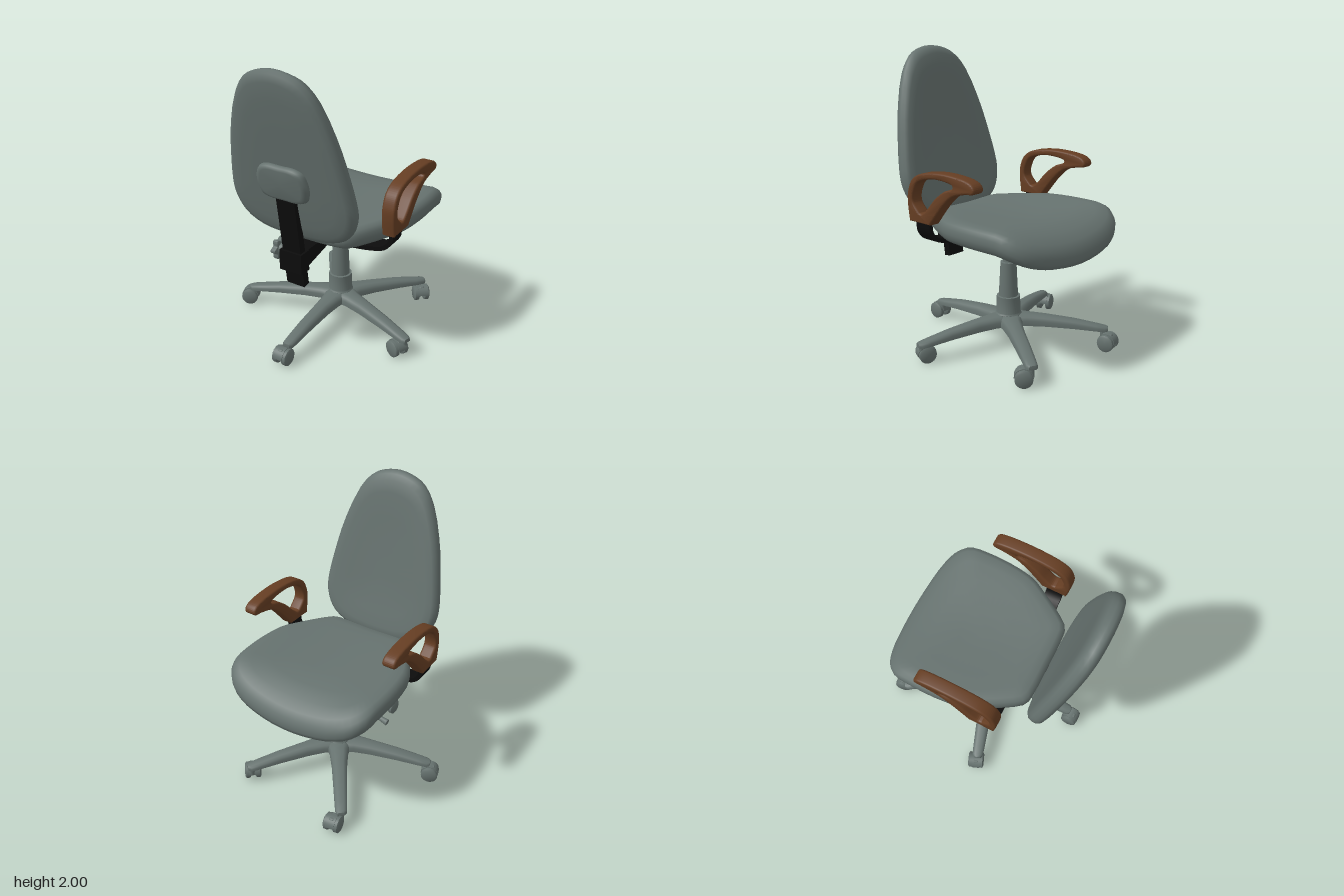
import * as THREE from 'three';
import { toCreasedNormals, mergeVertices } from 'three/addons/utils/BufferGeometryUtils.js';
import { RoundedBoxGeometry } from 'three/addons/geometries/RoundedBoxGeometry.js';

const material = (name, color) => Object.assign(new THREE.MeshStandardMaterial({ color }), { name });
const CX = 0.037, CZ = -0.063; // column axis
const V = (x, y, z) => new THREE.Vector3(x, y, z);
const P = ([x, y]) => new THREE.Vector2(x, y);

// Skin a series of closed counter-clockwise rings
function skin(rings) {
  const n = rings[0].length, pos = [], idx = [];
  rings.forEach((r) => r.forEach((p) => pos.push(p.x, p.y, p.z)));
  for (let i = 0; i < rings.length - 1; i++) {
    for (let j = 0; j < n; j++) {
      const k = (j + 1) % n, a = i * n + j, b = i * n + k, c = b + n, d = a + n;
      idx.push(a, b, c, a, c, d);
    }
  }
  const g = new THREE.BufferGeometry();
  g.setAttribute('position', new THREE.Float32BufferAttribute(pos, 3));
  g.setIndex(idx);
  const merged = mergeVertices(g, 1e-5);
  merged.computeVertexNormals();
  return merged;
}

// Padded cushion: mirrored half outline, rings of [scale, height], and a placing rule
function cushion(half, centre, rings, place) {
  const left = half.slice(1, -1).reverse().map(([u, v]) => [-u, v]);
  const curve = new THREE.CatmullRomCurve3([...half, ...left].map(([u, v]) => V(u, v, 0)), true);
  const outline = curve.getPoints(56).slice(0, -1);
  return skin(rings.map(([s, t]) => outline.map((p) => place(p.x * s, centre + (p.y - centre) * s, t))));
}

export function createModel() {
  const grey = material('grey upholstery and plastic', 0x66726f);
  const black = material('black steel', 0x0c0c0c);
  const brown = material('brown armrest', 0x663e23);
  const root = new THREE.Group();
  root.name = 'officeChair';
  const add = (name, geometry, mat, x = 0, y = 0, z = 0, parent = root) => {
    const m = new THREE.Mesh(geometry, mat);
    m.name = name;
    m.position.set(x, y, z);
    parent.add(m);
    return m;
  };

  // Seat cushion: raised sides and a drooping front edge
  const seatHalf = [[0, -0.37], [0.2, -0.37], [0.3, -0.355], [0.39, -0.24], [0.46, -0.12], [0.52, 0], [0.55, 0.2],
    [0.55, 0.4], [0.535, 0.52], [0.47, 0.6], [0.36, 0.645], [0.2, 0.67], [0, 0.68]];
  const seatRings = [[0, 0.78], [0.3, 0.78], [0.6, 0.78], [0.85, 0.782], [0.95, 0.795], [0.99, 0.82], [1, 0.85],
    [1, 0.885], [0.975, 0.915], [0.92, 0.935], [0.8, 0.944], [0.6, 0.946], [0.3, 0.946], [0, 0.946]];
  add('seat', cushion(seatHalf, 0.1, seatRings, (u, v, t) =>
    V(u + 0.04, t + 0.045 * (u / 0.55) ** 2 - 1.4 * Math.max(0, v - 0.4) ** 2, -v)), grey);

  // Backrest cushion, leaning backwards
  const lean = (y) => 0.43 + (y - 0.87) * 0.212;
  const backHalf = [[0, 0.86], [0.12, 0.865], [0.24, 0.88], [0.35, 0.93], [0.41, 1.0], [0.443, 1.1], [0.442, 1.2],
    [0.41, 1.4], [0.365, 1.6], [0.275, 1.84], [0.19, 1.945], [0.1, 1.985], [0, 2]];
  const backRings = [[0, -0.05], [0.3, -0.052], [0.6, -0.058], [0.82, -0.065], [0.93, -0.06], [0.98, -0.042], [1, -0.015],
    [1, 0.01], [0.97, 0.035], [0.9, 0.05], [0.75, 0.057], [0.5, 0.06], [0, 0.06]];
  add('backrest', cushion(backHalf, 1.3, backRings, (u, v, t) => V(u + 0.032, v, lean(v) + t)), grey);

  // Pad joining the upright to the backrest
  const padHalf = [[0, 1.165], [0.1, 1.165], [0.155, 1.185], [0.18, 1.25], [0.18, 1.31], [0.155, 1.375], [0.1, 1.4], [0, 1.4]];
  add('backPad', cushion(padHalf, 1.28, [[0, 0], [1, 0], [1, 0.07], [0.95, 0.095], [0.8, 0.105], [0, 0.108]],
    (u, v, t) => V(u + 0.028, v, lean(v) + t)), grey);

  // Back support: leaning upright, clamp and tapering arm to the seat
  const upright = add('backUpright', new THREE.BoxGeometry(0.135, 0.64, 0.05), black, 0.034, 0.85, 0.508);
  upright.rotation.x = Math.atan2(0.095, 0.63);
  add('uprightClamp', new THREE.BoxGeometry(0.165, 0.14, 0.09), black, 0.034, 0.72, 0.497);
  const armSide = new THREE.Shape([[0.46, 0.65], [0.46, 0.775], [0.1, 0.775], [0.1, 0.725]].map(P));
  const supportGeo = new THREE.ExtrudeGeometry(armSide, { depth: 0.12, bevelEnabled: false });
  supportGeo.rotateY(-Math.PI / 2);
  add('backSupportArm', supportGeo, black, 0.094);

  // Seat pan
  const pan = new THREE.CylinderGeometry(0.43, 0.39, 0.05, 4).rotateY(Math.PI / 4);
  add('seatPan', toCreasedNormals(pan, 0.5), grey, CX, 0.77, -0.075);
  add('panBoss', new THREE.CylinderGeometry(0.24, 0.12, 0.04, 24), grey, CX, 0.73, -0.04);

  // Curved band carrying both armrests
  const bend = new THREE.CatmullRomCurve3([[-0.54, 0.94], [-0.535, 0.875], [-0.49, 0.82], [-0.39, 0.79], [-0.15, 0.765],
    [0.15, 0.765], [0.39, 0.79], [0.49, 0.82], [0.535, 0.875], [0.54, 0.94]].map(([x, y]) => V(x, y, 0)));
  const bandRings = bend.getPoints(40).map((p, i) => {
    const t = bend.getTangent(i / 40), nx = -t.y * 0.014, ny = t.x * 0.014;
    return [[1, 0.06], [-1, 0.06], [-1, -0.06], [1, -0.06]].map(([s, z]) => V(p.x + nx * s, p.y + ny * s, z));
  });
  const bandMesh = add('armBracket', toCreasedNormals(skin(bandRings), 0.6), black, CX, 0, 0.17);
  bandMesh.material.side = THREE.DoubleSide;

  // Looped armrests, drawn in the z-y plane
  const loop = new THREE.Shape();
  loop.moveTo(0.075, 0.935);
  loop.lineTo(0.26, 0.935);
  loop.splineThru([[0.275, 1.05], [0.27, 1.13], [0.23, 1.21], [0.14, 1.258], [-0.02, 1.28], [-0.18, 1.275], [-0.275, 1.255],
    [-0.31, 1.22], [-0.295, 1.19], [-0.23, 1.18], [-0.13, 1.15], [-0.05, 1.085], [0.015, 1.01], [0.075, 0.935]].map(P));
  const hole = new THREE.Path();
  hole.moveTo(0.17, 1.0);
  hole.splineThru([[0.225, 1.065], [0.215, 1.14], [0.165, 1.203], [0.03, 1.235], [-0.11, 1.226], [-0.125, 1.2],
    [-0.05, 1.17], [0.03, 1.11], [0.095, 1.04], [0.14, 1.0], [0.17, 1.0]].map(P));
  loop.holes.push(hole);
  const armGeo = new THREE.ExtrudeGeometry(loop, { depth: 0.06, bevelThickness: 0.015, bevelSize: 0.012,
    bevelOffset: -0.012, bevelSegments: 3, curveSegments: 40 });
  armGeo.rotateY(-Math.PI / 2).translate(0.03, 0, 0);
  const armSmooth = toCreasedNormals(armGeo, 0.7);
  add('rightArmrest', armSmooth, brown, -0.502, 0, -0.005);
  add('leftArmrest', armSmooth, brown, 0.576, 0, 0.005);

  // Lobed tension knob on its stem
  const lobes = new THREE.Shape();
  for (let i = 0; i < 60; i++) {
    const a = (i / 60) * Math.PI * 2, r = 0.064 + 0.012 * Math.cos(a * 6);
    lobes[i ? 'lineTo' : 'moveTo'](Math.cos(a) * r, Math.sin(a) * r);
  }
  const knobGeo = new THREE.ExtrudeGeometry(lobes, { depth: 0.026, bevelThickness: 0.006, bevelSize: 0.006, bevelOffset: -0.006, bevelSegments: 2 });
  add('knob', toCreasedNormals(knobGeo.rotateY(-Math.PI / 2), 0.7), grey, -0.132, 0.715, 0.41);
  add('knobStem', new THREE.CylinderGeometry(0.038, 0.038, 0.12, 20).rotateZ(Math.PI / 2), grey, -0.075, 0.715, 0.41);

  // Height lever
  const rod = (name, a, b, r0, r1, mat) => {
    const d = b.clone().sub(a);
    const m = add(name, new THREE.CylinderGeometry(r1, r0, d.length(), 12), mat);
    m.position.copy(a).addScaledVector(d, 0.5);
    m.quaternion.setFromUnitVectors(V(0, 1, 0), d.normalize());
  };
  rod('lever', V(0.037, 0.665, -0.07), V(-0.3, 0.58, -0.09), 0.01, 0.01, black);
  rod('leverHandle', V(-0.285, 0.585, -0.09), V(-0.385, 0.565, -0.095), 0.013, 0.022, grey);

  // Gas column
  const column = [[0, 0.15], [0.09, 0.15], [0.09, 0.225], [0.083, 0.235], [0.08, 0.35], [0.066, 0.352], [0.054, 0.59],
    [0.037, 0.592], [0.037, 0.74], [0, 0.74]].map(P);
  add('gasColumn', toCreasedNormals(new THREE.LatheGeometry(column, 32), 0.6), grey, CX, 0, CZ);

  // Five-legged base: [reach, half width, bottom, top]
  const sections = [[0, 0.085, 0.155, 0.225], [0.07, 0.083, 0.155, 0.225], [0.13, 0.066, 0.153, 0.222], [0.25, 0.054, 0.148, 0.214],
    [0.45, 0.047, 0.136, 0.19], [0.6, 0.042, 0.122, 0.162], [0.66, 0.038, 0.116, 0.15], [0.68, 0.024, 0.118, 0.145]];
  const across = [[1, 0], [1, 0.5], [0.85, 0.82], [0.5, 1], [-0.5, 1], [-0.85, 0.82], [-1, 0.5], [-1, 0]];
  const legRings = sections.map(([z, w, lo, hi]) => across.map(([u, v]) => V(u * w, lo + (hi - lo) * v, z)));
  legRings.unshift(across.map(() => V(0, 0.19, 0)));
  legRings.push(across.map(() => V(0, 0.131, 0.682)));
  const legGeo = toCreasedNormals(skin(legRings), 0.8);
  for (let i = 0; i < 5; i++) {
    const leg = new THREE.Group();
    leg.name = 'baseLeg' + (i + 1);
    leg.position.set(CX, 0, CZ);
    leg.rotation.y = (i * Math.PI * 2) / 5;
    add('spoke', legGeo, grey, 0, 0, 0, leg);
    add('casterStem', new THREE.CylinderGeometry(0.02, 0.02, 0.07, 12), grey, 0, 0.095, 0.65, leg);
    root.add(leg);
  }

  // Twin-wheel casters: [x, z, heading]
  const wheel = toCreasedNormals(new THREE.LatheGeometry([[0, -0.021], [0.045, -0.021], [0.058, -0.013],
    [0.058, 0.013], [0.045, 0.021], [0, 0.021]].map(P), 24).rotateZ(Math.PI / 2), 0.6);
  const hood = new THREE.CylinderGeometry(0.062, 0.062, 0.06, 20, 1, false, 0, Math.PI).rotateZ(Math.PI / 2);
  const places = [[0.02, 0.63, 0], [-0.615, 0.14, -1.2], [0.612, 0.15, 1.15], [-0.32, -0.645, 0.15], [0.445, -0.55, 0.7]];
  places.forEach(([x, z, yaw], i) => {
    const caster = new THREE.Group();
    caster.name = 'caster' + (i + 1);
    caster.position.set(x, 0.058, z);
    caster.rotation.y = yaw;
    for (const s of [-1, 1]) add('wheel', wheel, grey, s * 0.036, 0, 0, caster);
    add('hood', hood, grey, 0, 0, 0, caster);
    add('axleBlock', new RoundedBoxGeometry(0.04, 0.06, 0.07, 2, 0.012), grey, 0, 0.03, 0, caster);
    root.add(caster);
  });
  return root;
}
